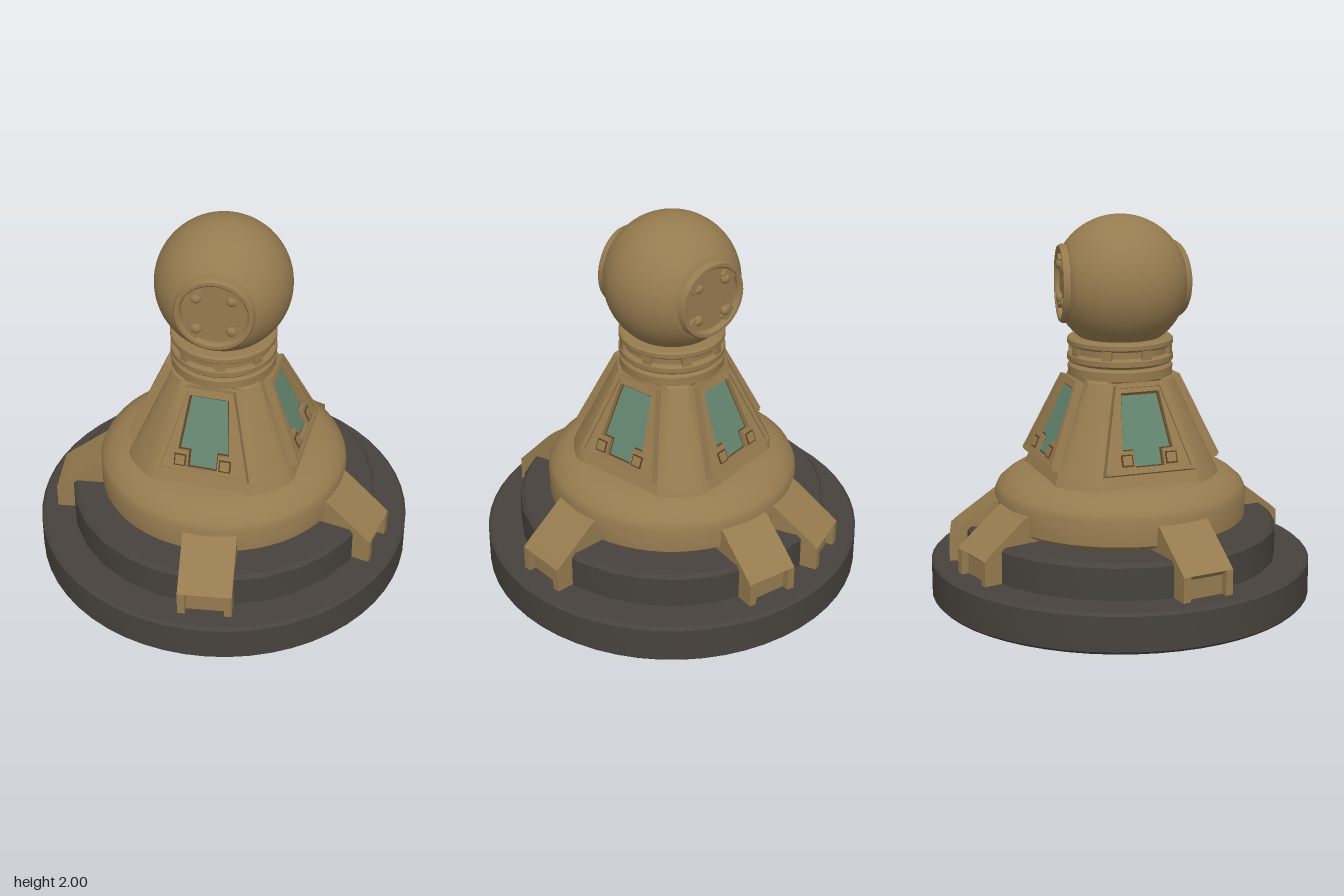
import * as THREE from 'three';
import { toCreasedNormals, mergeVertices } from 'three/addons/utils/BufferGeometryUtils.js';

const mat = (name, color, extra = {}) => new THREE.MeshStandardMaterial({ name, color, ...extra });
const V = (pts) => pts.map(([x, y]) => new THREE.Vector2(x, y));
const deg = THREE.MathUtils.degToRad;

export function createModel() {
  const model = new THREE.Group();
  const tan = mat('tan', 0x967b4f);
  const dark = mat('charcoal', 0x47423d);
  const green = mat('greenGlass', 0x64856f);
  const brown = mat('darkBrown', 0x5a3c20);

  const add = (parent, name, geo, material, x = 0, y = 0, z = 0) => {
    const mesh = new THREE.Mesh(geo, material);
    mesh.name = name;
    mesh.position.set(x, y, z);
    parent.add(mesh);
    return mesh;
  };
  const group = (parent, name) => {
    const g = new THREE.Group();
    g.name = name;
    parent.add(g);
    return g;
  };
  const lathe = (pts, sides = 56, crease = 0.6) =>
    toCreasedNormals(new THREE.LatheGeometry(V(pts), sides), crease);
  const extrude = (pts, depth, hole) => {
    const shape = new THREE.Shape(V(pts));
    if (hole) shape.holes.push(new THREE.Path(V(hole)));
    return new THREE.ExtrudeGeometry(shape, { depth, bevelEnabled: false });
  };
  // Flattens a geometry wherever it passes a vertical or sloping plane facing each azimuth
  const flatten = (geo, azimuths, limit) => {
    const p = geo.attributes.position;
    for (let i = 0; i < p.count; i++) {
      for (const a of azimuths) {
        const nx = Math.sin(deg(a)), nz = Math.cos(deg(a));
        const over = p.getX(i) * nx + p.getZ(i) * nz - limit(p.getY(i));
        if (over > 0) {
          p.setX(i, p.getX(i) - nx * over);
          p.setZ(i, p.getZ(i) - nz * over);
        }
      }
    }
    return geo;
  };

  // Two dark base tiers
  add(model, 'baseDisc', lathe([[0, 0], [0.985, 0], [1, 0.015], [1, 0.195], [0.985, 0.21], [0, 0.21]]), dark);
  add(model, 'upperBaseDisc',
    lathe([[0, 0.2], [0.82, 0.2], [0.82, 0.375], [0.8, 0.395], [0, 0.395]], 28), dark);

  // Rounded skirt
  add(model, 'skirt', lathe([[0, 0.41], [0.63, 0.41], [0.657, 0.43], [0.66, 0.56], [0.645, 0.595],
    [0.6, 0.635], [0.56, 0.66], [0.5, 0.677], [0, 0.68]]), tan);

  // Feet: full-height cheeks with a notched middle
  const cheek = [[0.5, 0.205], [0.9, 0.205], [0.9, 0.34], [0.86, 0.375], [0.66, 0.53], [0.62, 0.543], [0.5, 0.543]];
  const middle = [[0.5, 0.205], [0.862, 0.205], [0.862, 0.31], [0.9, 0.34], [0.86, 0.375], [0.66, 0.53],
    [0.62, 0.543], [0.5, 0.543]];
  for (const az of [18, 90, 173, 203, 288]) {
    const foot = group(model, 'foot');
    foot.rotation.y = deg(az - 90);
    add(foot, 'footMiddle', extrude(middle, 0.2), tan, 0, 0, -0.1);
    for (const z of [-0.14, 0.1]) add(foot, 'footCheek', extrude(cheek, 0.04), tan, 0, 0, z);
  }

  // Tapered body with four flat sides
  const panelYaws = [9.5, 99.5, 189.5, 279.5];
  const slope = 0.18 / 0.42;
  const face = (y) => 0.455 - (y - 0.75) * slope;
  const profile = [[0.55, 0.6]];
  for (let i = 0; i <= 10; i++) profile.push([0.52 - 0.0235 * i, 0.68 + 0.049 * i]);
  profile.push([0.272, 1.18], [0.272, 1.225], [0.262, 1.237], [0, 1.237]);
  const bodyGeo = flatten(new THREE.LatheGeometry(V(profile), 72), panelYaws,
    (y) => (y < 1.175 ? face(y) - 0.04 : 1));
  add(model, 'body', toCreasedNormals(bodyGeo, 0.45), tan);

  // Window panels: frame, dark reveal, stepped glass and corner squares
  const windowOutline = (m) => [[-0.078 + m, 0.033 + m], [0.078 - m, 0.033 + m], [0.078 - m, 0.12 + m],
    [0.135 - m, 0.12 + m], [0.103 - m, 0.415 - m], [-0.103 + m, 0.415 - m], [-0.135 + m, 0.12 + m],
    [-0.078 + m, 0.12 + m]];
  const frameOutline = [[-0.245, 0], [0.245, 0], [0.125, 0.457], [-0.125, 0.457]];
  for (const yaw of panelYaws) {
    const turn = group(model, 'windowPanel');
    turn.rotation.y = deg(yaw);
    const panel = group(turn, 'tiltedPanel');
    panel.position.set(0, 0.75, face(0.75));
    panel.rotation.x = -Math.atan(slope);
    add(panel, 'windowFrame', extrude(frameOutline, 0.05, windowOutline(0)), tan, 0, 0, -0.05);
    add(panel, 'windowReveal', extrude(windowOutline(-0.002), 0.006), brown, 0, 0, -0.032);
    add(panel, 'windowGlass', extrude(windowOutline(0.009), 0.006), green, 0, 0, -0.028);
    for (const s of [-1, 1]) {
      add(panel, 'cornerRecess', new THREE.BoxGeometry(0.062, 0.062, 0.006), brown, s * 0.118, 0.07, 0.001);
      add(panel, 'cornerSquare', new THREE.BoxGeometry(0.048, 0.048, 0.012), tan, s * 0.118, 0.07, 0.001);
      const rail = add(panel, 'sideRail', new THREE.BoxGeometry(0.022, 0.462, 0.016), tan, s * 0.174, 0.228, 0.002);
      rail.rotation.z = s * Math.atan(0.12 / 0.457);
    }
    add(panel, 'bottomRail', new THREE.BoxGeometry(0.46, 0.018, 0.016), tan, 0, 0.009, 0.002);
    add(panel, 'topRail', new THREE.BoxGeometry(0.24, 0.018, 0.016), tan, 0, 0.447, 0.002);
  }

  // Grooved neck collar with small bridges
  add(model, 'collar', lathe([[0, 1.23], [0.235, 1.23], [0.25, 1.245], [0.265, 1.245], [0.275, 1.255],
    [0.275, 1.282], [0.265, 1.292], [0.25, 1.294], [0.25, 1.328], [0.265, 1.33], [0.275, 1.34],
    [0.275, 1.362], [0.265, 1.372], [0, 1.375]]), tan);
  for (let i = 0; i < 8; i++) {
    const a = deg(20 + i * 45);
    const bridge = add(model, 'collarBridge', new THREE.BoxGeometry(0.05, 0.05, 0.03), tan,
      0.255 * Math.sin(a), 1.31, 0.255 * Math.cos(a));
    bridge.rotation.y = a;
  }

  // Spherical head, flattened behind each porthole
  const portYaws = [15, 179];
  const headGeo = new THREE.SphereGeometry(0.35, 64, 48);
  headGeo.deleteAttribute('uv');
  headGeo.deleteAttribute('normal');
  const headMerged = flatten(mergeVertices(headGeo), portYaws, () => 0.285);
  headMerged.computeVertexNormals();
  add(model, 'head', headMerged, tan, 0, 1.65, 0);

  // Round portholes: raised rim, recessed plate and four clamps
  const rimGeo = lathe([[0.203, 0.25], [0.203, 0.305], [0.195, 0.318], [0.178, 0.318], [0.168, 0.308], [0.164, 0.28]], 40);
  rimGeo.rotateX(Math.PI / 2);
  const plateGeo = new THREE.CylinderGeometry(0.18, 0.18, 0.02, 40).rotateX(Math.PI / 2);
  for (const yaw of portYaws) {
    const port = group(model, 'porthole');
    port.position.y = 1.65;
    port.rotation.y = deg(yaw);
    add(port, 'portholeRim', rimGeo, tan);
    add(port, 'portholePlate', plateGeo, tan, 0, 0, 0.282);
    for (let i = 0; i < 4; i++) {
      const clamp = group(port, 'clamp');
      clamp.rotation.z = deg(45 + i * 90);
      add(clamp, 'clampPad', new THREE.BoxGeometry(0.05, 0.075, 0.03), tan, 0.15, 0, 0.296);
      const knob = add(clamp, 'clampKnob', new THREE.SphereGeometry(0.028, 16, 10), tan, 0.125, 0, 0.302);
      knob.scale.z = 0.7;
    }
  }
  return model;
}
